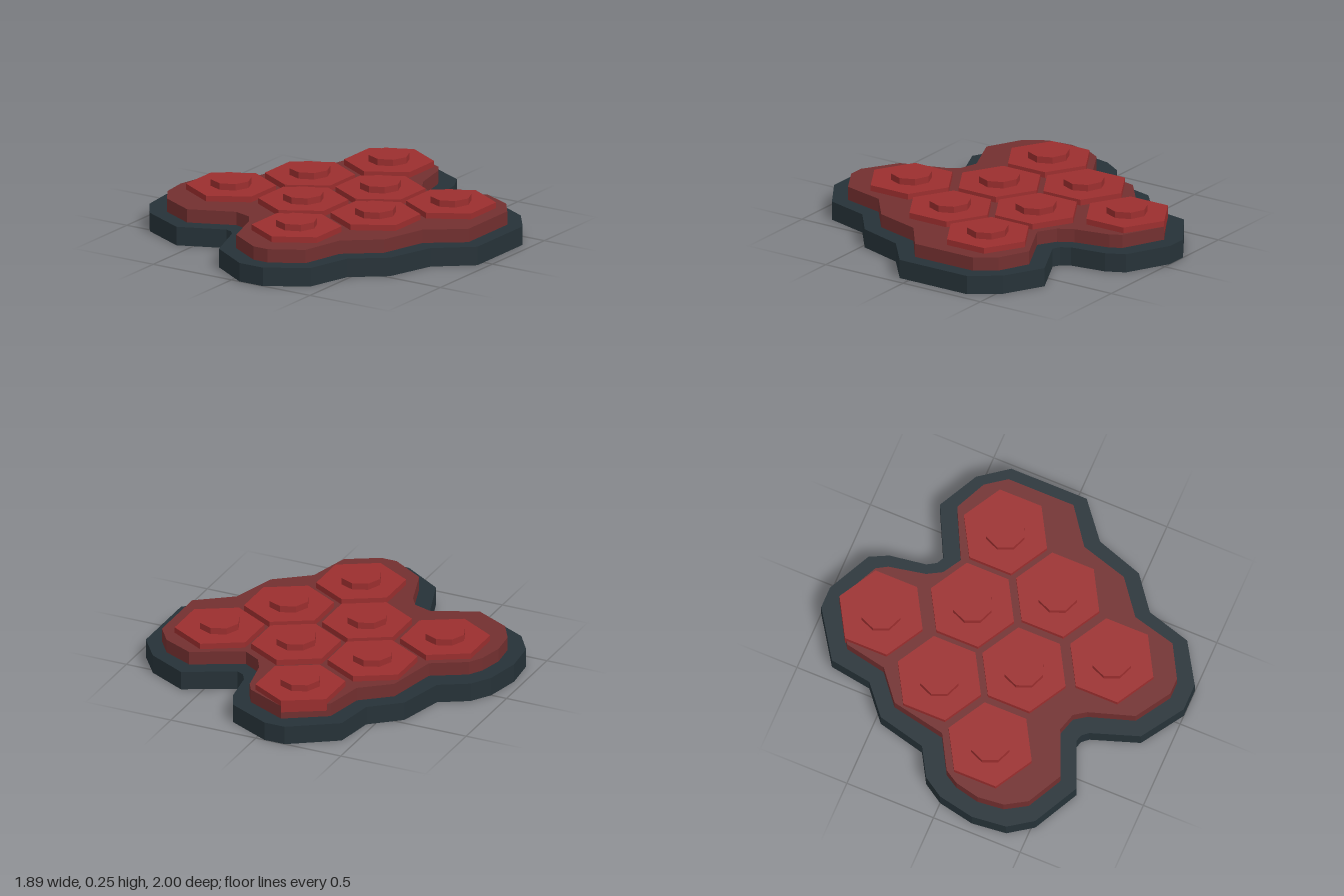
import * as THREE from 'three';
import { mergeGeometries } from 'three/addons/utils/BufferGeometryUtils.js';

// Outlines seen from above as [x, z] pairs, in hundredths
const BASE = [
  [-17, -100], [-5, -100], [19, -88], [24, -78], [27, -58], [30, -53], [34, -51], [61, -64.5],
  [83, -53], [94.5, -37.5], [94.5, 6], [75, 22], [66.5, 48], [48.5, 62], [41.5, 86.5], [20, 100],
  [5, 100], [-18, 85], [-27, 59], [-30, 55.5], [-33.5, 54.5], [-58.5, 65], [-84, 52], [-93, 39],
  [-95, 20], [-91, 0], [-84, -11], [-68.5, -20], [-62, -46.5], [-46, -60], [-42.5, -83],
];
const BODY = [
  [-11, -92], [12, -81], [15.5, -75], [19.5, -55], [24, -47], [34, -41], [61, -54.5], [78, -46.5],
  [86, -35.5], [86, 2], [66.5, 16.5], [59, 42.5], [40.5, 57], [34.5, 81], [17, 91], [8, 91],
  [-11, 79], [-19, 54.5], [-23.5, 48], [-33.5, 45], [-58, 55.5], [-77.5, 45.5], [-84.5, 34],
  [-86, 19.5], [-83, 6], [-78.5, -1.5], [-60, -12], [-54, -42], [-38, -55], [-33.5, -78],
];
// Centres of the hexagonal tiles
const TILES = [
  [-0.11, -0.68],
  [-0.33, -0.25], [0.12, -0.25], [0.57, -0.25],
  [-0.57, 0.145], [-0.11, 0.145], [0.35, 0.145],
  [0.12, 0.555],
];

// Open-bottomed tray: a wall around the outline and a flat top
function shell(outline, y0, y1) {
  const pts = outline.map(([x, z]) => [x / 100, z / 100]);
  const pos = [];
  pts.forEach(([ax, az], i) => {
    const [bx, bz] = pts[(i + 1) % pts.length];
    pos.push(ax, y0, az, ax, y1, az, bx, y1, bz, ax, y0, az, bx, y1, bz, bx, y0, bz);
  });
  const wall = new THREE.BufferGeometry();
  wall.setAttribute('position', new THREE.Float32BufferAttribute(pos, 3));
  wall.computeVertexNormals();
  const shape = new THREE.Shape(pts.map(([x, z]) => new THREE.Vector2(x, -z)));
  const top = new THREE.ShapeGeometry(shape).rotateX(-Math.PI / 2).translate(0, y1, 0).toNonIndexed();
  top.deleteAttribute('uv');
  return mergeGeometries([wall, top]);
}

// Flat-sided prism standing between two heights
function prism(radius, sides, y0, y1) {
  const g = new THREE.CylinderGeometry(radius, radius, y1 - y0, sides).toNonIndexed();
  g.computeVertexNormals();
  return g.translate(0, (y0 + y1) / 2, 0);
}

export function createModel() {
  const slate = new THREE.MeshStandardMaterial({ color: 0x263238, side: THREE.DoubleSide });
  const darkRed = new THREE.MeshStandardMaterial({ color: 0x722f2f, side: THREE.DoubleSide });
  const red = new THREE.MeshStandardMaterial({ color: 0x9b2e2e });
  slate.name = 'slate';
  darkRed.name = 'darkRed';
  red.name = 'red';

  const model = new THREE.Group();
  model.name = 'hexTilePlate';
  const add = (name, geometry, material, parent = model) => {
    const mesh = new THREE.Mesh(geometry, material);
    mesh.name = name;
    parent.add(mesh);
  };

  // Stepped base; the body reaches a little below the base top
  add('base', shell(BASE, 0, 0.103), slate);
  add('body', shell(BODY, 0.072, 0.177), darkRed);

  // Hexagonal tiles, each with an eight-sided knob
  const hexGeometry = prism(0.24, 6, 0.14, 0.209);
  const knobGeometry = prism(0.111, 8, 0.2, 0.245);
  for (const [x, z] of TILES) {
    const tile = new THREE.Group();
    tile.name = 'tile';
    tile.position.set(x, 0, z);
    add('hexPlate', hexGeometry, red, tile);
    add('knob', knobGeometry, red, tile);
    model.add(tile);
  }
  return model;
}
